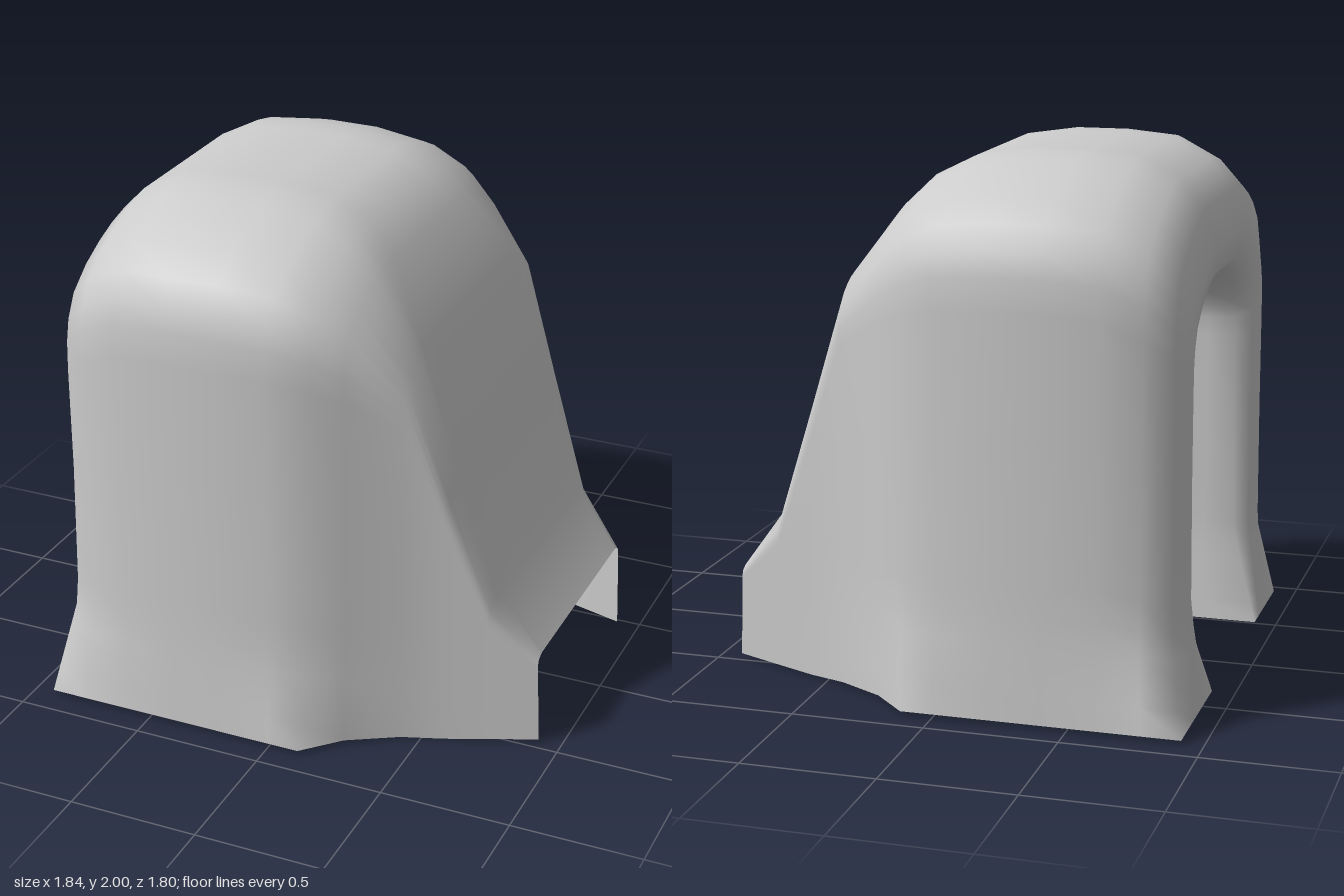
import * as THREE from 'three';

const SIDE = [0, 0.07, 0.14, 0.2, 0.26, 0.34, 0.45, 0.7, 1]; // rows up a side wall
// Shoulder profile, as shares of the corner radii (inward, upward)
const CORNER = [[0.01, 0.24], [0.05, 0.42], [0.15, 0.6], [0.36, 0.76], [0.58, 0.87], [0.79, 0.95], [1, 1]];
const TOP = 8; // steps across the roof

// Arch-shaped section: x, half width w, height h, corner radii rz and ry;
// the foot blends out to x = fx, z = fl (front side) and z = -fr (rear side);
// off shifts the arch sideways.
function section([x, w, h, rz, ry, fx, fl, fr = fl, off = 0]) {
  const low = 0.015 - 0.015 * Math.exp(-(((x - 0.6) / 0.2) ** 2));
  const half = [
    ...SIDE.map(f => [w, low + (h - ry - low) * f]),
    ...CORNER.map(([u, v]) => [w - rz * u, h - ry + ry * v]),
  ];
  // steep flare near the ground with a faint taper above it
  const place = (z, y, sign, foot) => {
    const t = 0.86 * Math.max(0, 1 - (y - low) / 0.37) + 0.14 * Math.max(0, 1 - (y - low) / 0.9);
    const side = sign * z + off;
    return [x + (fx - x) * t, y, side + (sign * foot - side) * t];
  };
  const pts = half.map(([z, y]) => place(z, y, 1, fl));
  const other = half.map(([z, y]) => place(z, y, -1, fr)).reverse();
  const a = pts[pts.length - 1], b = other[0];
  for (let i = 1; i < TOP; i++) pts.push(a.map((v, k) => v + (b[k] - v) * i / TOP));
  return pts.concat(other);
}

// Skin a row of sections
function loft(name, stations, material) {
  const rows = stations.map(section), n = rows[0].length, index = [];
  for (let i = 0; i < rows.length - 1; i++)
    for (let j = 0; j < n - 1; j++) {
      const a = i * n + j, b = a + n;
      index.push(a, a + 1, b, b, a + 1, b + 1);
    }
  const geometry = new THREE.BufferGeometry();
  geometry.setAttribute('position', new THREE.Float32BufferAttribute(rows.flat(2), 3));
  geometry.setIndex(index);
  geometry.computeVertexNormals();
  const mesh = new THREE.Mesh(geometry, material);
  mesh.name = name;
  return mesh;
}

export function createModel() {
  const group = new THREE.Group();
  group.name = 'hood';
  const material = new THREE.MeshStandardMaterial({ color: 0xcccccc, side: THREE.DoubleSide });

  // Recess walls, rounded arch rim, then the outer shell down to the low lip
  const recessEnd = [0.07, 0.33, 1.38, 0.26, 0.28, 0.25, 0.46, 0.37, 0.05];
  group.add(loft('shell', [
    recessEnd,
    [-0.02, 0.42, 1.44, 0.3, 0.3, 0.12, 0.47, 0.37, 0.04],
    [-0.3, 0.465, 1.48, 0.3, 0.3, -0.3, 0.47, 0.37, 0.03],
    [-0.7, 0.475, 1.48, 0.3, 0.3, -0.7, 0.47, 0.37, 0.025],
    [-0.81, 0.485, 1.5, 0.31, 0.32, -0.92, 0.47, 0.37, 0.02],
    [-0.865, 0.545, 1.55, 0.34, 0.36, -0.92, 0.56, 0.5, 0.01],
    [-0.885, 0.65, 1.66, 0.4, 0.42, -0.92, 0.7],
    [-0.85, 0.77, 1.81, 0.47, 0.47, -0.92, 0.9],
    [-0.75, 0.835, 1.91, 0.51, 0.49, -0.77, 0.9],
    [-0.6, 0.87, 1.985, 0.53, 0.5, -0.6, 0.9],
    [-0.4, 0.89, 2, 0.53, 0.5, -0.4, 0.9],
    [-0.2, 0.885, 2, 0.53, 0.5, -0.2, 0.9],
    [0, 0.865, 1.97, 0.51, 0.48, 0, 0.9],
    [0.14, 0.82, 1.9, 0.45, 0.44, 0.12, 0.9],
    [0.25, 0.755, 1.79, 0.35, 0.38, 0.25, 0.765],
    [0.43, 0.645, 1.54, 0.18, 0.24, 0.43, 0.65],
    [0.58, 0.585, 1.07, 0.13, 0.18, 0.58, 0.585],
    [0.73, 0.53, 0.6, 0.08, 0.11, 0.73, 0.53],
    [0.9, 0.47, 0.37, 0.05, 0.05, 0.915, 0.465],
  ], material));

  // Wall closing the recess, its foot sweeping forward
  group.add(loft('recessWall', [
    [0.07, 0.001, 1.38, 0.001, 0.28, 0.25, 0, 0, 0.05],
    recessEnd,
  ], material));
  return group;
}
